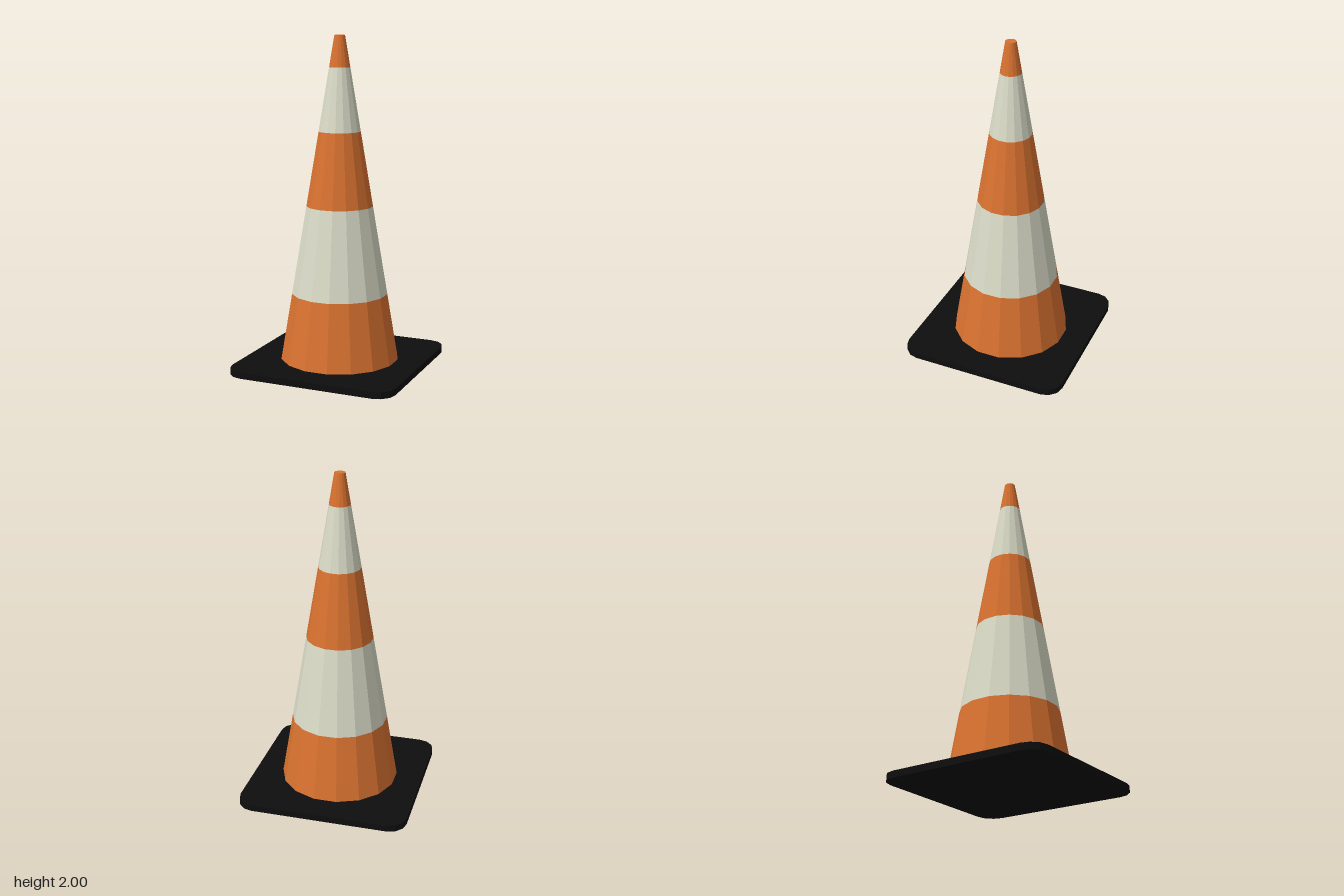
import * as THREE from 'three';

const SIDES = 16;
const BASE_HALF = 0.523, BASE_HEIGHT = 0.04, CORNER = 0.105;

function material(name, color) {
  const m = new THREE.MeshStandardMaterial({ color, flatShading: true });
  m.name = name;
  return m;
}

// Circumradius of the straight tapered cone at a given height
function radiusAt(y) {
  const flat = THREE.MathUtils.mapLinear(y, BASE_HEIGHT, 2, 0.356, 0.0315);
  return flat / Math.cos(Math.PI / SIDES);
}

// Square slab with rounded corners, three facets per corner
function baseGeometry() {
  const shape = new THREE.Shape();
  const c = BASE_HALF - CORNER;
  [[c, c], [-c, c], [-c, -c], [c, -c]].forEach(([cx, cy], corner) => {
    for (let i = 0; i <= 3; i++) {
      const a = (corner + i / 3) * Math.PI / 2;
      const x = cx + CORNER * Math.cos(a), y = cy + CORNER * Math.sin(a);
      if (corner === 0 && i === 0) shape.moveTo(x, y);
      else shape.lineTo(x, y);
    }
  });
  shape.closePath();
  const geo = new THREE.ExtrudeGeometry(shape, { depth: BASE_HEIGHT, bevelEnabled: false });
  return geo.rotateX(-Math.PI / 2);
}

export function createModel() {
  const group = new THREE.Group();
  group.name = 'trafficCone';
  const orange = material('orange', 0xd97230);
  const white = material('reflectiveWhite', 0xdadbc7);
  const black = material('blackRubber', 0x0e0e0e);

  const add = (name, geo, mat) => {
    const mesh = new THREE.Mesh(geo, mat);
    mesh.name = name;
    group.add(mesh);
    return mesh;
  };

  add('base', baseGeometry(), black);

  // Stacked bands, alternating orange and white
  const heights = [BASE_HEIGHT, 0.447, 0.983, 1.432, 1.812, 2];
  const names = ['lowerBody', 'lowerStripe', 'middleBody', 'upperStripe', 'tip'];
  names.forEach((name, i) => {
    const y0 = heights[i], y1 = heights[i + 1];
    const geo = new THREE.CylinderGeometry(
      radiusAt(y1), radiusAt(y0), y1 - y0, SIDES, 1, true, Math.PI / SIDES);
    add(name, geo, i % 2 ? white : orange).position.y = (y0 + y1) / 2;
  });

  // Flat closed top
  const cap = new THREE.CircleGeometry(radiusAt(2), SIDES, Math.PI / SIDES).rotateX(-Math.PI / 2);
  add('topCap', cap, orange).position.y = 2;

  return group;
}
